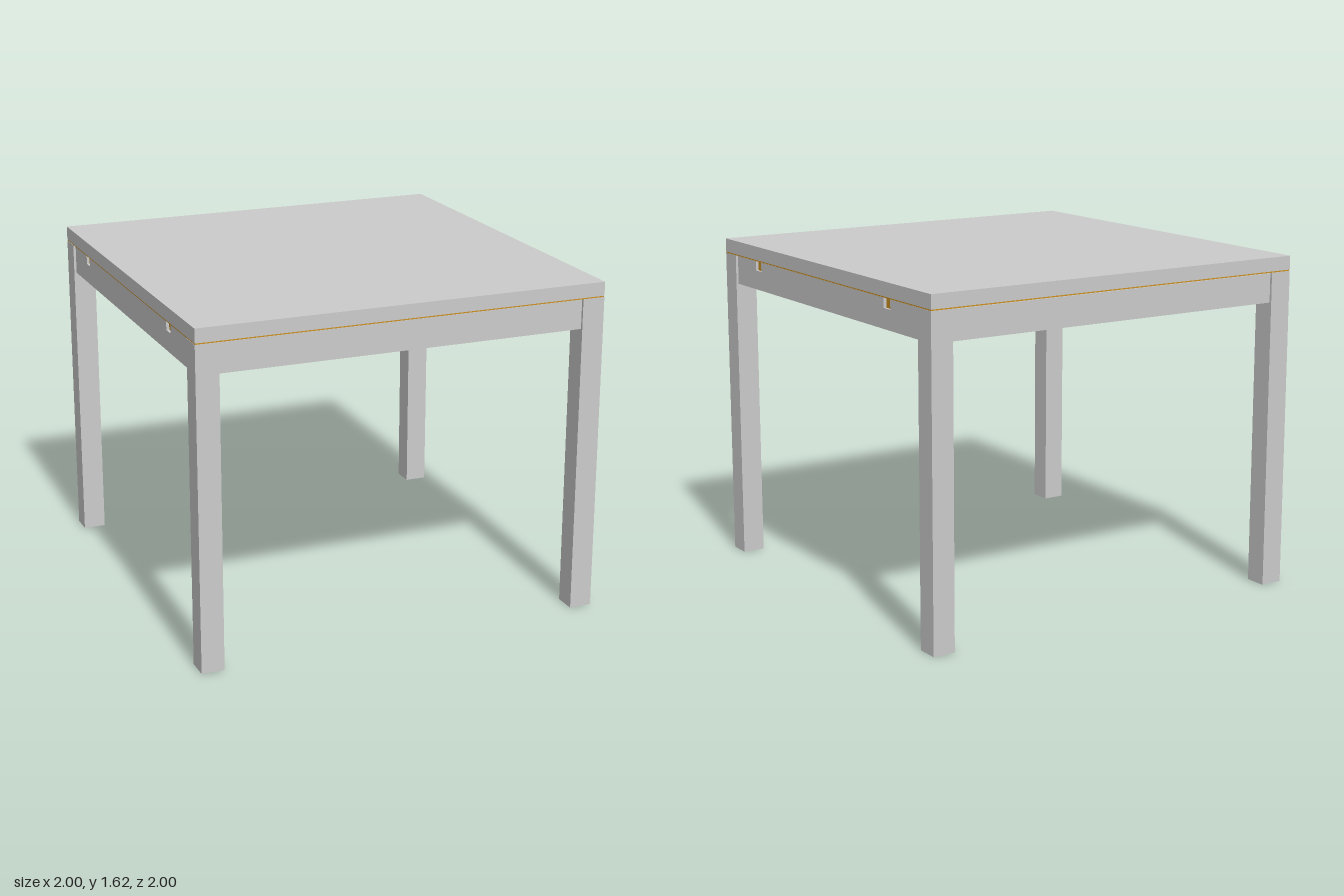
import * as THREE from 'three';

const grey = new THREE.MeshStandardMaterial({ color: 0xcccccc });
const wood = new THREE.MeshStandardMaterial({ color: 0xcc9122 });

// Box given by its lower and upper corners
function box(parent, name, [x0, y0, z0], [x1, y1, z1], material = grey) {
  const mesh = new THREE.Mesh(new THREE.BoxGeometry(x1 - x0, y1 - y0, z1 - z0), material);
  mesh.position.set((x0 + x1) / 2, (y0 + y1) / 2, (z0 + z1) / 2);
  mesh.name = name;
  parent.add(mesh);
}

// Outline in x and y, extruded from z0 to z1
function slab(parent, name, points, z0, z1, material) {
  const shape = new THREE.Shape(points.map(([x, y]) => new THREE.Vector2(x, y)));
  const geometry = new THREE.ExtrudeGeometry(shape, { depth: z1 - z0, bevelEnabled: false });
  geometry.translate(0, 0, z0);
  const mesh = new THREE.Mesh(geometry, material);
  mesh.name = name;
  parent.add(mesh);
}

export function createModel() {
  const table = new THREE.Group();
  table.name = 'extendingTable';

  const legTop = 1.55, legInner = 0.89, apronBottom = 1.405, slotBottom = 1.5;
  const runnerZ = [0.66, -0.605], halfSlot = 0.029;

  // Top with a bare wood underside
  box(table, 'tableTop', [-1, 1.556, -1], [1, 1.623, 1]);
  box(table, 'tableUnderside', [-0.998, legTop, -0.998], [0.998, 1.556, 0.998], wood);

  // Legs flush with the corners
  for (const sx of [-1, 1]) for (const sz of [-1, 1]) {
    const x = sx * 0.945, z = sz * 0.945;
    box(table, 'leg', [x - 0.055, 0, z - 0.055], [x + 0.055, legTop, z + 0.055]);
  }

  // Aprons: the two end ones are notched where the runners slide out
  for (let k = 0; k < 4; k++) {
    const side = new THREE.Group();
    side.name = 'apron';
    side.rotation.y = k * Math.PI / 2;
    const top = legTop - 0.004;
    const outline = [[-legInner, top], [-legInner, apronBottom], [legInner, apronBottom], [legInner, top]];
    if (k % 2) for (const z of [...runnerZ].reverse()) {
      const a = -z + halfSlot, b = -z - halfSlot;
      outline.push([a, top], [a, slotBottom], [b, slotBottom], [b, top]);
    }
    slab(side, 'apronBoard', outline, 0.95, 0.988, grey);
    slab(side, 'apronInnerFace', outline, 0.946, 0.95, wood);
    table.add(side);
  }

  // Sloping runners in pairs, each half turned to slide the opposite way, with a strap per pair
  for (const turn of [0, Math.PI]) {
    const half = new THREE.Group();
    half.name = 'slideHalf';
    half.rotation.y = turn;
    for (const z of runnerZ) {
      const bar = [[-0.92, 1.445], [0.92, slotBottom], [0.975, slotBottom], [0.975, legTop], [0.9, legTop], [-0.92, 1.515]];
      slab(half, 'runner', bar, z - 0.026, z + 0.026, wood);
    }
    box(half, 'strapInnerLeg', [-0.025, 1.42, 0.56], [0.025, legTop, 0.57]);
    box(half, 'strapOuterLeg', [-0.025, 1.42, 0.695], [0.025, legTop, 0.705]);
    box(half, 'strapBase', [-0.025, 1.41, 0.56], [0.025, 1.42, 0.705]);
    table.add(half);
  }

  return table;
}
